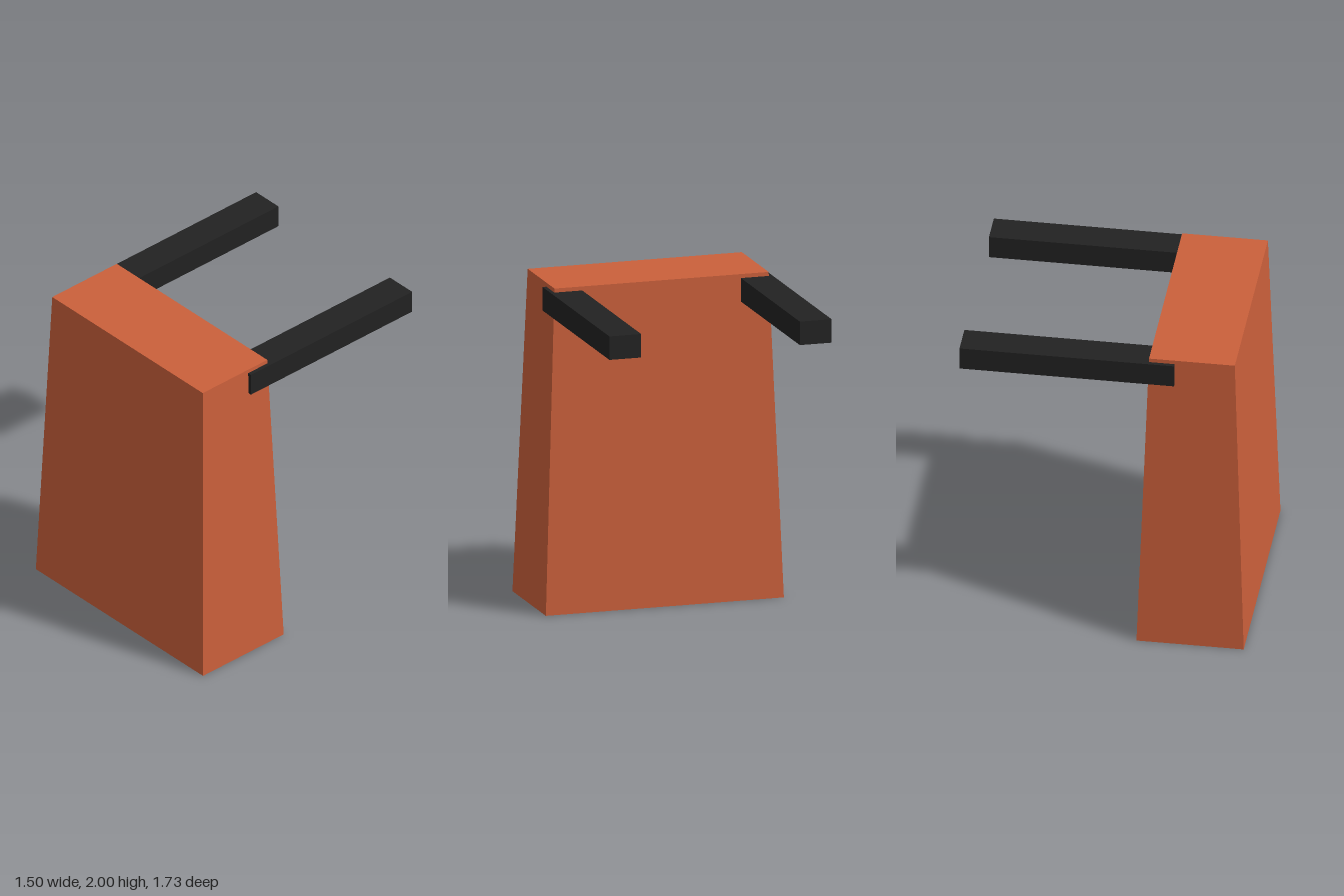
import * as THREE from 'three';

export function createModel() {
  const model = new THREE.Group();
  const clay = new THREE.MeshStandardMaterial({ color: 0xcb603b });
  clay.name = 'burnt orange';
  const black = new THREE.MeshStandardMaterial({ color: 0x222222 });
  black.name = 'soft black';

  // Tapered block: the top corners are drawn in towards the centre
  const geometry = new THREE.BoxGeometry(1.5, 2, 0.65).toNonIndexed();
  const p = geometry.attributes.position;
  for (let i = 0; i < p.count; i++) {
    if (p.getY(i) > 0) {
      p.setX(i, p.getX(i) * 0.9);
      p.setZ(i, p.getZ(i) * 0.8);
    }
  }
  geometry.computeVertexNormals();
  const body = new THREE.Mesh(geometry, clay);
  body.name = 'taperedBody';
  body.position.set(0, 1, 0.54);
  model.add(body);

  // Two straight bars reaching backwards from the upper corners
  for (const side of [-1, 1]) {
    const bar = new THREE.Mesh(new THREE.BoxGeometry(0.2, 0.145, 1.3), black);
    bar.name = side > 0 ? 'leftBar' : 'rightBar';
    bar.position.set(side * 0.6, 1.903, -0.215);
    model.add(bar);
  }

  return model;
}
